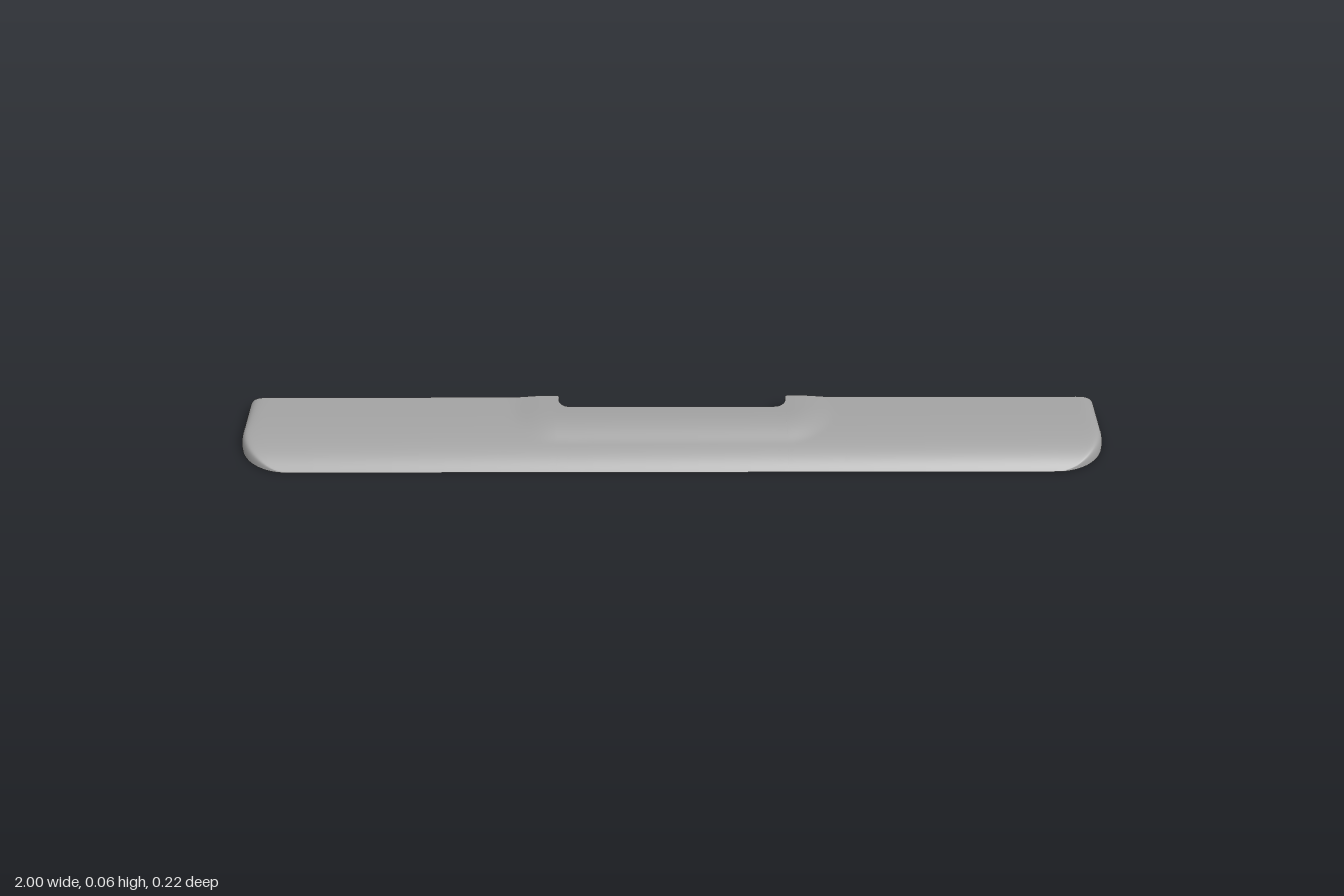
import * as THREE from 'three';
import { toCreasedNormals } from 'three/addons/utils/BufferGeometryUtils.js';

const FRONT = 0.11, BACK = -0.11;
const CORNER = 0.12; // front corner radius in plan
const NOTCH_X = 0.265, NOTCH_Z = -0.065, NOTCH_R = 0.027;
const BEVEL = 0.004;

// Front edge of the outline at a given x
function frontEdge(x) {
  const e = Math.max(Math.abs(x) - (1 - CORNER), 0);
  return FRONT - CORNER + Math.sqrt(Math.max(CORNER * CORNER - e * e, 0));
}

// Distance inwards from the front and end edges
function inset(x, z) {
  const ex = Math.abs(x) - (1 - CORNER), ez = z - (FRONT - CORNER);
  if (ex > 0 && ez > 0) return CORNER - Math.hypot(ex, ez);
  return Math.min(1 - Math.abs(x), FRONT - z);
}

// Height of the upper surface: sloping rest, raised lip round the notch, rounded ends
function height(x, z) {
  const t = Math.max(FRONT - z, 0);
  let slope = 0.073 * t / (t + 0.0616);
  const d = Math.hypot(Math.max(Math.abs(x) - NOTCH_X, 0), Math.max(z - NOTCH_Z, 0));
  slope = THREE.MathUtils.lerp(slope, 0.065, 1 - THREE.MathUtils.smoothstep(d, 0.03, 0.115));
  const s = THREE.MathUtils.clamp(inset(x, z) / 0.05, 0, 1);
  const round = 0.068 * Math.sqrt(1 - (1 - s) ** 2);
  if (slope < 1e-5 || round < 1e-5) return 0;
  return (slope ** -6 + round ** -6) ** (-1 / 6);
}

// Columns across the width, each with its x and back edge z
function makeColumns() {
  const half = [];
  for (let i = 0; i < 4; i++) half.push([i * 0.06, NOTCH_Z]);
  for (let i = 0; i <= 8; i++) { // inner notch corner
    const a = i / 8 * Math.PI / 2;
    half.push([NOTCH_X - NOTCH_R + NOTCH_R * Math.sin(a), NOTCH_Z - NOTCH_R + NOTCH_R * Math.cos(a)]);
  }
  for (let i = 0; i <= 4; i++) { // small outer notch corner
    const a = i / 4 * Math.PI / 2;
    half.push([NOTCH_X + 0.007 * (1 - Math.cos(a)), BACK + 0.007 * (1 - Math.sin(a))]);
  }
  for (let i = 1; i <= 12; i++) half.push([0.272 + i * 0.0107, BACK]);
  for (let i = 1; i <= 8; i++) half.push([0.4 + i * 0.06, BACK]);
  for (let i = 1; i <= 20; i++) {
    half.push([1 - CORNER * (1 - Math.sin(i / 20 * Math.PI / 2)), BACK]);
  }
  return [...half.slice(1).reverse().map(([x, z]) => [-x, z]), ...half];
}

// Skin a list of equal-length cross-sections
function loft(sections) {
  const n = sections[0].length, index = [];
  for (let i = 0; i < sections.length - 1; i++) {
    for (let j = 0; j < n - 1; j++) {
      const a = i * n + j, b = a + n;
      index.push(a, b, b + 1, a, b + 1, a + 1);
    }
  }
  const geometry = new THREE.BufferGeometry();
  geometry.setAttribute('position', new THREE.Float32BufferAttribute(sections.flat(2), 3));
  geometry.setIndex(index);
  geometry.computeVertexNormals();
  return geometry;
}

export function createModel() {
  const group = new THREE.Group();
  const grey = new THREE.MeshStandardMaterial({ color: 0xa2a2a2 });
  grey.name = 'grey';
  const add = (name, geometry) => {
    const mesh = new THREE.Mesh(geometry, grey);
    mesh.name = name;
    group.add(mesh);
    return mesh;
  };
  const columns = makeColumns();

  // Upper surface, rows packed towards the front edge
  const ROWS = 36;
  add('topSurface', loft(columns.map(([x, zb]) => {
    const zf = frontEdge(x);
    return Array.from({ length: ROWS + 1 }, (_, j) => {
      const z = zf + (zb - zf) * (j / ROWS) ** 1.7;
      return [x, height(x, z), z];
    });
  })));

  // Back wall following the notch, with a small bevel at the foot
  const wall = loft([...columns].reverse().map(([x, z]) => {
    const h = height(x, z), b = Math.min(BEVEL, h);
    return [[x, 0, z + BEVEL], [x, b, z], [x, h, z]];
  }));
  add('backWall', toCreasedNormals(wall, 0.6));

  // Underside with four screw holes
  const outline = [];
  columns.forEach(([x], i) => {
    if (i === 0 || Math.abs(x - columns[i - 1][0]) > 1e-6) outline.push(new THREE.Vector2(x, frontEdge(x)));
  });
  [...columns].reverse().forEach(([x, z]) => {
    const p = new THREE.Vector2(x, z + BEVEL);
    if (p.distanceTo(outline[outline.length - 1]) > 1e-6) outline.push(p);
  });
  const shape = new THREE.Shape(outline);
  const HOLE_R = 0.026, HOLE_Z = -0.065, DEPTH = 0.025;
  const holeXs = [-0.77, -0.485, 0.485, 0.77];
  for (const x of holeXs) {
    shape.holes.push(new THREE.Path().absarc(x, HOLE_Z, HOLE_R, 0, Math.PI * 2, true));
  }
  add('underside', new THREE.ShapeGeometry(shape, 24).rotateX(Math.PI / 2));

  // Blind recess above each hole
  const profile = [[0, DEPTH], [HOLE_R, DEPTH], [HOLE_R, 0]].map(([r, y]) => new THREE.Vector2(r, y));
  const recess = toCreasedNormals(new THREE.LatheGeometry(profile, 24), 0.6);
  for (const x of holeXs) add('screwHole', recess).position.set(x, 0, HOLE_Z);

  return group;
}
